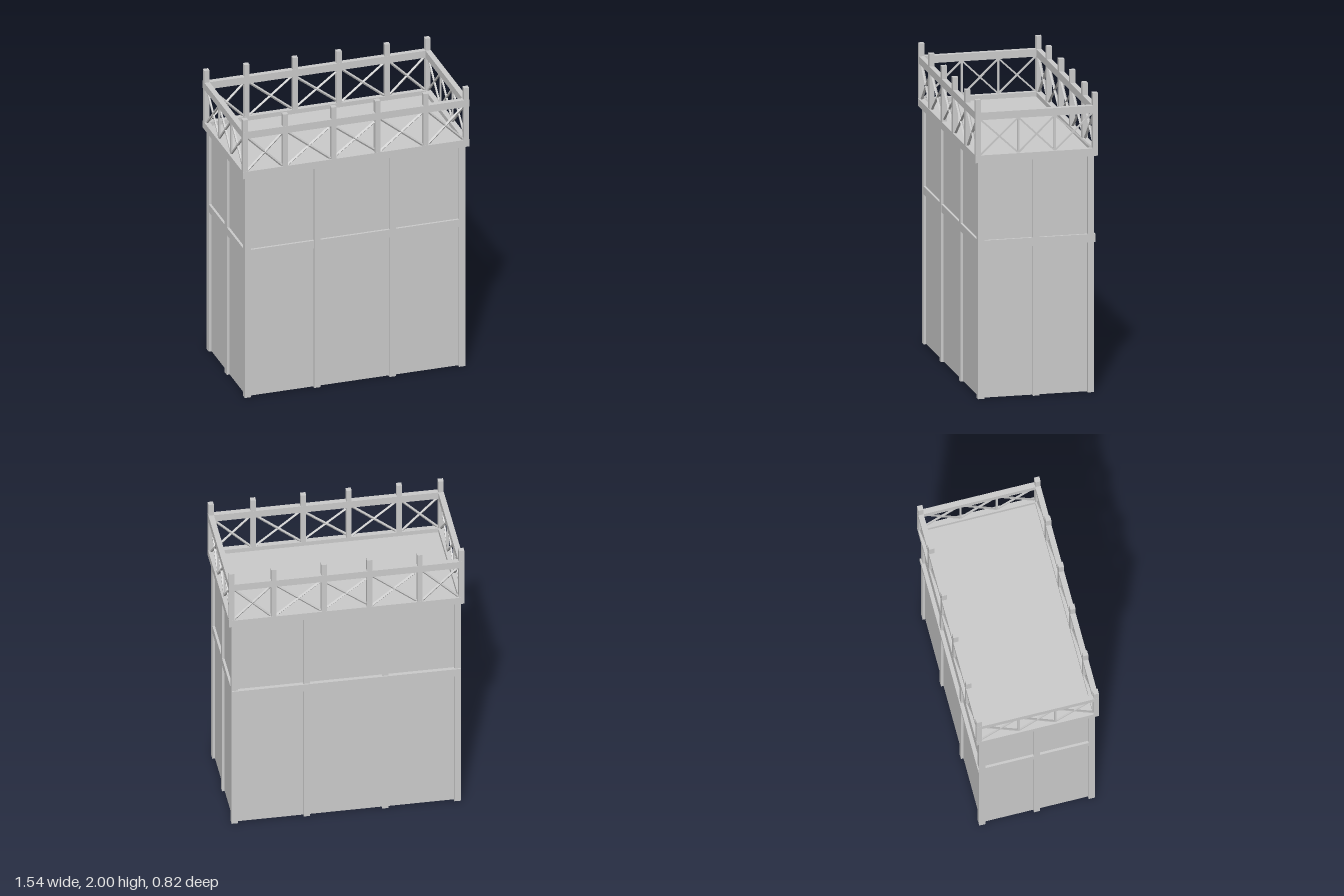
import * as THREE from 'three';

const material = new THREE.MeshStandardMaterial({ color: 0xcccccc, flatShading: true });

// Box given by its limits on each axis
function addBox(parent, name, [x0, x1], [y0, y1], [z0, z1]) {
  const mesh = new THREE.Mesh(new THREE.BoxGeometry(x1 - x0, y1 - y0, z1 - z0), material);
  mesh.position.set((x0 + x1) / 2, (y0 + y1) / 2, (z0 + z1) / 2);
  mesh.name = name;
  parent.add(mesh);
  return mesh;
}

const around = (c, width) => [c - width / 2, c + width / 2];

// Square bar between two points
function addBar(parent, name, a, b, thickness) {
  const dir = new THREE.Vector3().subVectors(b, a);
  const mesh = new THREE.Mesh(new THREE.BoxGeometry(thickness, thickness, dir.length()), material);
  mesh.position.addVectors(a, b).multiplyScalar(0.5);
  mesh.quaternion.setFromUnitVectors(new THREE.Vector3(0, 0, 1), dir.normalize());
  mesh.name = name;
  parent.add(mesh);
}

// Two crossing braces; at(u, y) places a point in the railing's plane
function addCross(parent, at, u0, u1, y0, y1, thickness) {
  addBar(parent, 'brace', at(u0, y0), at(u1, y1), thickness);
  addBar(parent, 'brace', at(u0, y1), at(u1, y0), thickness);
}

function createTower() {
  const tower = new THREE.Group();
  tower.name = 'tower';
  const X = 0.73, Z = 0.365, H = 1.59, post = 0.042, wall = 0.008;
  const rail = [1.0, 1.055];

  // Thin walls around a hollow, open-bottomed body
  for (const s of [-1, 1]) {
    addBox(tower, 'longWall', [-X, X], [0.004, H], around(s * Z, wall));
    addBox(tower, 'endWall', around(s * X, wall), [0.004, H], [-Z, Z]);
  }

  // Timber posts straddling the walls
  for (const s of [-1, 1]) {
    for (const x of [-X, -0.257, 0.257, X])
      addBox(tower, 'wallPost', around(x, post), [0, H], around(s * Z, post));
    addBox(tower, 'endPost', around(s * X, post), [0, H], around(0, post));
  }

  // Middle rails, the back one standing proud
  addBox(tower, 'frontMidRail', [-0.75, 0.75], rail, around(Z, 0.04));
  addBox(tower, 'backMidRail', [-0.75, 0.75], rail, around(-0.375, 0.04));
  for (const s of [-1, 1])
    addBox(tower, 'endMidRail', around(s * X, 0.04), rail, [-Z, Z]);
  return tower;
}

function createBalcony() {
  const balcony = new THREE.Group();
  balcony.name = 'balcony';
  const X = 0.753, Z = 0.39, w = 0.036;
  const floorY = 1.58, sillY = 1.63, railY = 1.865, railTop = 1.915;

  addBox(balcony, 'deck', [-X, X], [1.583, 1.6], [-Z, Z]);

  // Sill and top rail on all four sides
  for (const [name, y] of [['sill', [floorY, sillY]], ['topRail', [railY, railTop]]]) {
    for (const s of [-1, 1]) {
      addBox(balcony, name, [-X - w / 2, X + w / 2], y, around(s * Z, w));
      addBox(balcony, name, around(s * X, w), y, [-Z + w / 2, Z - w / 2]);
    }
  }

  // Long sides: tall posts with crossed braces in each bay
  const posts = [-X, -0.48, -0.15, 0.148, 0.477, X];
  for (const s of [-1, 1]) {
    const at = (u, y) => new THREE.Vector3(u, y, s * Z);
    posts.forEach((x, i) => {
      addBox(balcony, 'railingPost', around(x, w - 0.001), [floorY + 0.002, 2], around(s * Z, w - 0.001));
      if (i === 0) return;
      const inset = i === 3 ? 0.018 : 0;
      addCross(balcony, at, posts[i - 1] + w / 2, x - w / 2, sillY + inset, railY - inset, 0.013);
    });
  }

  // Short sides: three bays split by slim uprights
  const ends = [-Z + w / 2, -0.123, 0.12, Z - w / 2];
  for (const s of [-1, 1]) {
    const at = (u, y) => new THREE.Vector3(s * X, y, u);
    for (let i = 1; i < ends.length; i++) {
      addCross(balcony, at, ends[i - 1], ends[i], sillY, railY, 0.011);
      if (i < 3) addBox(balcony, 'slimUpright', around(s * X, 0.012), [sillY, railY], around(ends[i], 0.012));
    }
  }
  return balcony;
}

export function createModel() {
  const model = new THREE.Group();
  model.name = 'timberTower';
  model.add(createTower(), createBalcony());
  return model;
}
